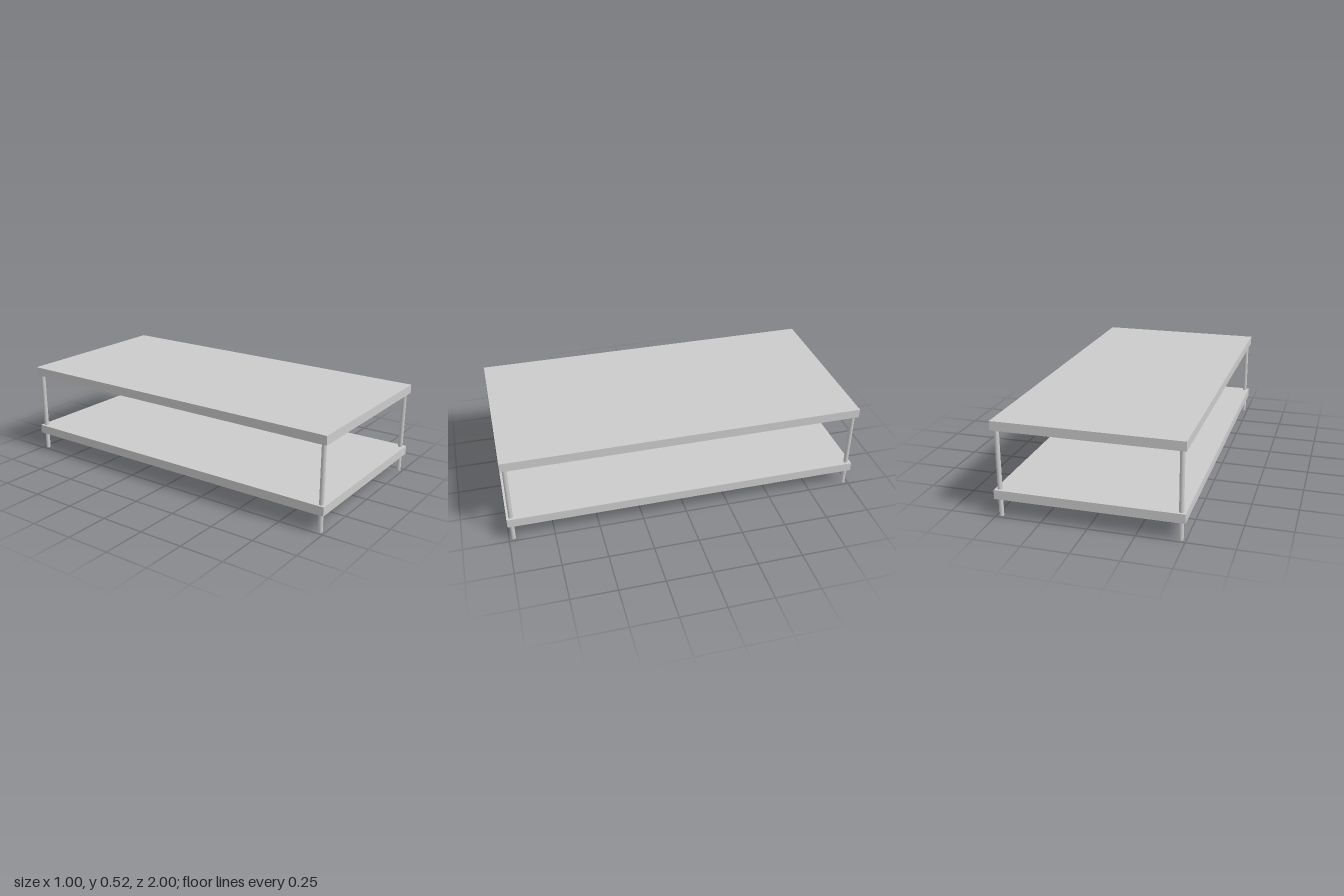
import * as THREE from 'three';

const WIDTH = 1, DEPTH = 2, BOARD = 0.05;
const LEG_RADIUS = 0.0125, LEG_HEIGHT = 0.5, LEG_INSET = 0.025;

export function createModel() {
  const group = new THREE.Group();
  group.name = 'coffeeTable';
  const material = new THREE.MeshStandardMaterial({ color: 0xcccccc });

  const add = (name, geometry, x, y, z) => {
    const mesh = new THREE.Mesh(geometry, material);
    mesh.name = name;
    mesh.position.set(x, y, z);
    group.add(mesh);
  };

  // Table top and lower shelf share one board
  const board = new THREE.BoxGeometry(WIDTH, BOARD, DEPTH);
  add('tableTop', board, 0, 0.5, 0);
  add('lowerShelf', board, 0, 0.125, 0);

  // Round legs at the corners, passing through the shelf into the top
  const leg = new THREE.CylinderGeometry(LEG_RADIUS, LEG_RADIUS, LEG_HEIGHT, 32);
  for (const [side, sx] of [['Left', 1], ['Right', -1]]) {
    for (const [end, sz] of [['front', 1], ['back', -1]]) {
      add(`${end}${side}Leg`, leg,
        sx * (WIDTH / 2 - LEG_INSET), LEG_HEIGHT / 2, sz * (DEPTH / 2 - LEG_INSET));
    }
  }
  return group;
}
